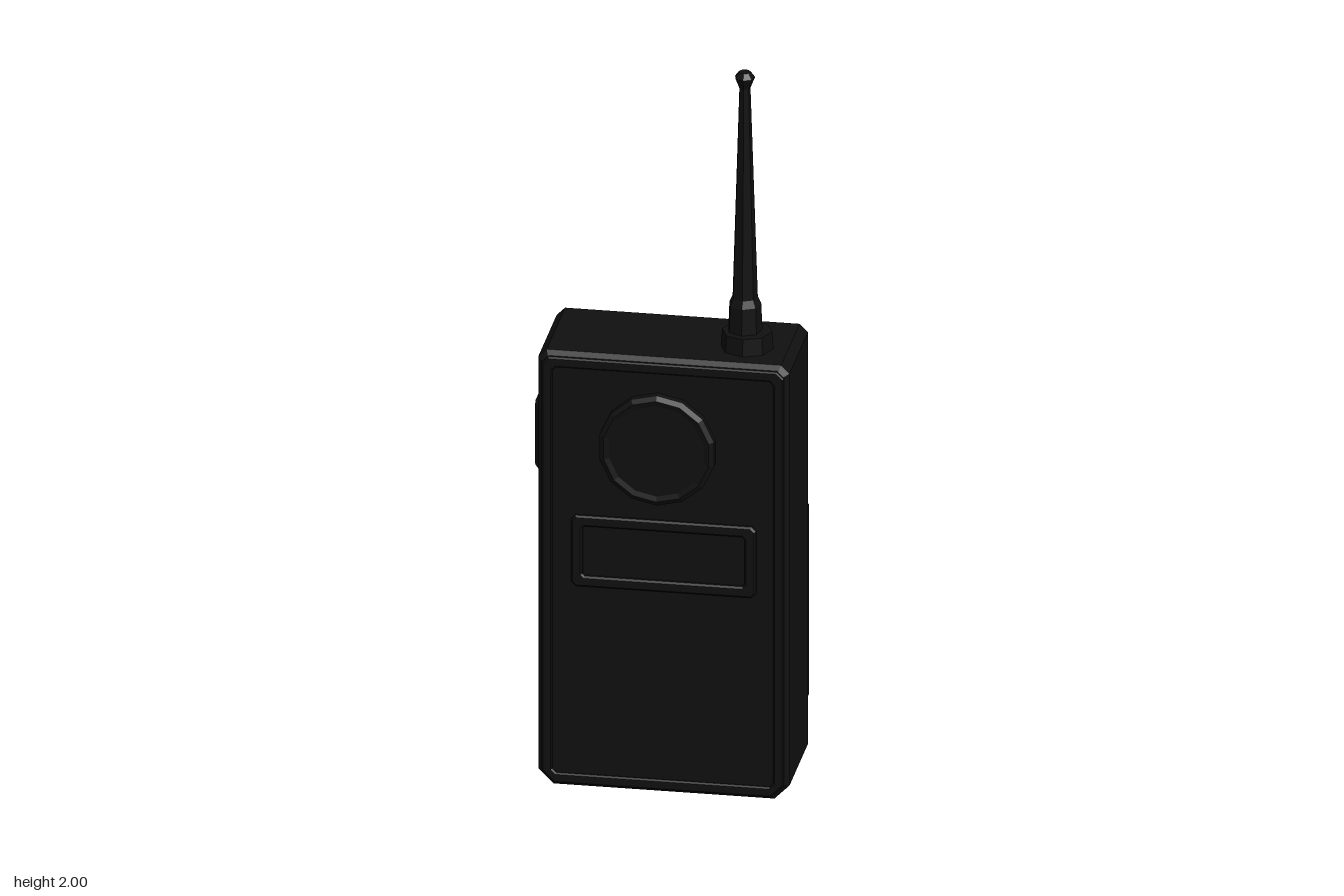
import * as THREE from 'three';

const material = new THREE.MeshStandardMaterial({ color: 0x101010, flatShading: true });

// Rectangle with cut corners; top and bottom cuts may differ
function outline(Kind, x0, x1, y0, y1, top, bottom = top) {
  const points = [
    [x0 + bottom, y0], [x1 - bottom, y0], [x1, y0 + bottom], [x1, y1 - top],
    [x1 - top, y1], [x0 + top, y1], [x0, y1 - top], [x0, y0 + bottom],
  ];
  return new Kind(points.map(([x, y]) => new THREE.Vector2(x, y)));
}

// Bevelled plate filling z0..z1, with its outline as the outermost edge
function plate(shape, z0, z1, bevel) {
  const geometry = new THREE.ExtrudeGeometry(shape, {
    depth: z1 - z0 - 2 * bevel,
    bevelEnabled: bevel > 0,
    bevelThickness: bevel,
    bevelSize: bevel,
    bevelOffset: -bevel,
    bevelSegments: 1,
  });
  return geometry.translate(0, 0, z0 + bevel);
}

export function createModel() {
  const group = new THREE.Group();
  const add = (name, geometry) => {
    const mesh = new THREE.Mesh(geometry, material);
    mesh.name = name;
    group.add(mesh);
    return mesh;
  };

  // Case with a shallow raised rim around the front
  add('case', plate(outline(THREE.Shape, -0.325, 0.337, 0, 1.225, 0.022, 0.04), -0.145, 0.164, 0.016));
  const rim = outline(THREE.Shape, -0.313, 0.325, 0.012, 1.213, 0.018, 0.034);
  rim.holes.push(outline(THREE.Path, -0.285, 0.297, 0.04, 1.185, 0.01));
  add('frontRim', plate(rim, 0.15, 0.172, 0.004));

  // Round speaker cover with a stepped edge
  const speaker = new THREE.LatheGeometry([
    [0.155, 0], [0.155, 0.026], [0.142, 0.034], [0.128, 0.03], [0, 0.03],
  ].map(([r, h]) => new THREE.Vector2(r, h)), 14);
  speaker.rotateX(Math.PI / 2);
  add('speaker', speaker).position.set(-0.007, 0.975, 0.157);

  // Framed label window below the speaker
  const frame = outline(THREE.Shape, -0.235, 0.252, 0.572, 0.772, 0.012);
  frame.holes.push(outline(THREE.Path, -0.205, 0.222, 0.602, 0.742, 0.006));
  add('labelFrame', plate(frame, 0.158, 0.176, 0.005));

  // Talk button on the right side
  const button = plate(outline(THREE.Shape, -0.075, 0.075, -0.105, 0.105, 0.018), 0, 0.03, 0.013);
  button.rotateY(-Math.PI / 2);
  add('talkButton', button).position.set(-0.313, 0.96, 0.033);

  // Battery pack on the back, its cover cut by horizontal grooves
  add('batteryPack', plate(outline(THREE.Shape, -0.325, 0.333, 0.145, 0.72, 0.02), -0.182, -0.135, 0.014));
  const cover = outline(THREE.Shape, -0.318, 0.326, 0.152, 0.713, 0.018);
  for (const y of [0.26, 0.37, 0.48, 0.59]) {
    cover.holes.push(outline(THREE.Path, -0.235, 0.243, y - 0.018, y + 0.018, 0.008));
  }
  add('batteryCover', plate(cover, -0.195, -0.165, 0.006));

  // Square mount above the battery
  add('backMount', plate(outline(THREE.Shape, -0.14, 0.15, 0.83, 1.12, 0.035), -0.153, -0.13, 0.006));

  // Antenna: collar, sleeve, tapering rod and flared tip
  const collar = new THREE.CylinderGeometry(0.066, 0.07, 0.055, 8).translate(0, 1.245, 0);
  add('antennaCollar', collar).position.set(0.207, 0, 0.043);
  const rod = new THREE.LatheGeometry([
    [0.047, 1.25], [0.043, 1.345], [0.034, 1.365], [0.015, 1.955],
    [0.027, 1.985], [0.016, 2], [0, 2],
  ].map(([r, y]) => new THREE.Vector2(r, y)), 7);
  add('antennaRod', rod).position.set(0.2, 0, 0.04);

  return group;
}
